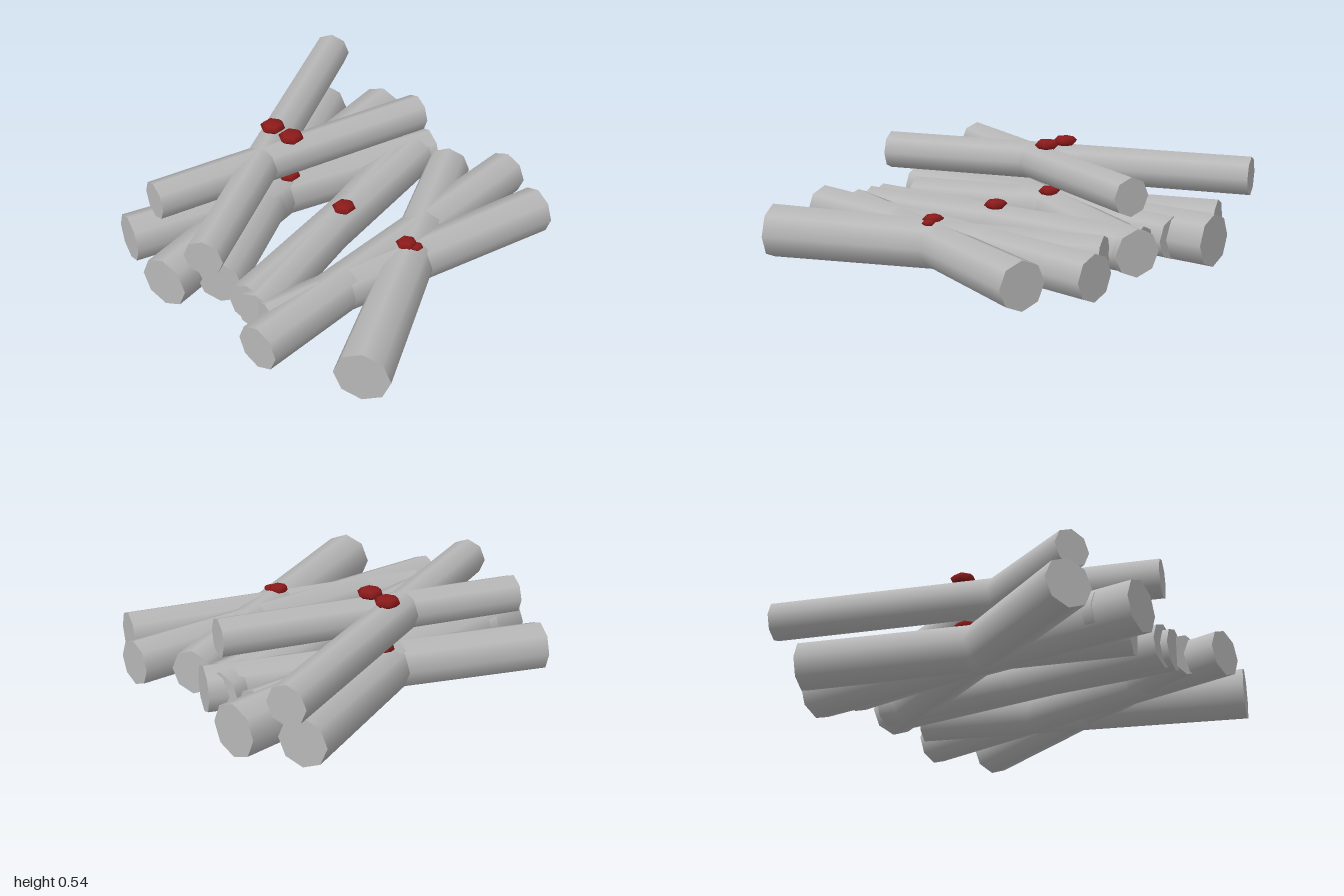
import * as THREE from 'three';

export function createModel() {
  const group = new THREE.Group();
  const logGrey = new THREE.MeshStandardMaterial({ color: 0xb8b8b8 });
  logGrey.name = 'logGrey';
  const darkRed = new THREE.MeshStandardMaterial({ color: 0x8b1a1a });
  darkRed.name = 'darkRed';

  // Lying, slightly tapered eight-sided log between its left-hand and right-hand end centres
  function addLog(name, y, x0, z0, r0, x1, z1, r1) {
    const dx = x1 - x0, dz = z1 - z0;
    const geo = new THREE.CylinderGeometry(r1, r0, Math.hypot(dx, dz), 8);
    geo.rotateZ(-Math.PI / 2);
    const log = new THREE.Mesh(geo, logGrey);
    log.name = name;
    log.position.set((x0 + x1) / 2, y, (z0 + z1) / 2);
    log.rotation.y = -Math.atan2(dz, dx);
    group.add(log);
  }

  // Lower layer: [x0, z0, r0, x1, z1, r1]
  [
    [-0.75, 0.87, 0.138, 0.77, 0.075, 0.115],
    [-0.79, 0.28, 0.105, 0.80, 0.655, 0.12],
    [-0.945, 0.385, 0.118, 0.947, 0.335, 0.116],
    [-0.765, 0.13, 0.115, 0.765, -0.13, 0.115],
    [-0.78, 0.20, 0.11, 0.78, -0.20, 0.11],
    [-0.825, -0.68, 0.124, 0.82, -0.11, 0.12],
    [-0.935, -0.285, 0.133, 0.935, -0.555, 0.135],
    [-0.76, -0.34, 0.108, 0.76, -0.45, 0.11],
    [-0.745, -0.09, 0.12, 0.745, -0.83, 0.126],
  ].forEach((p, i) => addLog('lowerLog' + (i + 1), 0.14, ...p));

  // Two crossed logs on top
  [
    [-0.885, -0.035, 0.1, 0.885, -0.91, 0.1],
    [-0.745, -0.55, 0.098, 0.75, -0.14, 0.098],
  ].forEach((p, i) => addLog('upperLog' + (i + 1), 0.4, ...p));

  // Flattened six-sided red caps resting on the logs: [x, y, z, radius]
  [
    [0, 0.515, -0.475, 0.067],
    [0, 0.515, -0.34, 0.067],
    [0, 0.262, 0.035, 0.062],
    [0, 0.265, 0.463, 0.055],
    [0.02, 0.257, 0.51, 0.035],
    [0, 0.265, -0.36, 0.06],
    [0, 0.265, -0.45, 0.06],
  ].forEach(([x, y, z, r], i) => {
    const cap = new THREE.Mesh(new THREE.SphereGeometry(r, 6, 4), darkRed);
    cap.name = 'redCap' + (i + 1);
    cap.scale.y = 0.42;
    cap.position.set(x, y, z);
    group.add(cap);
  });

  return group;
}
